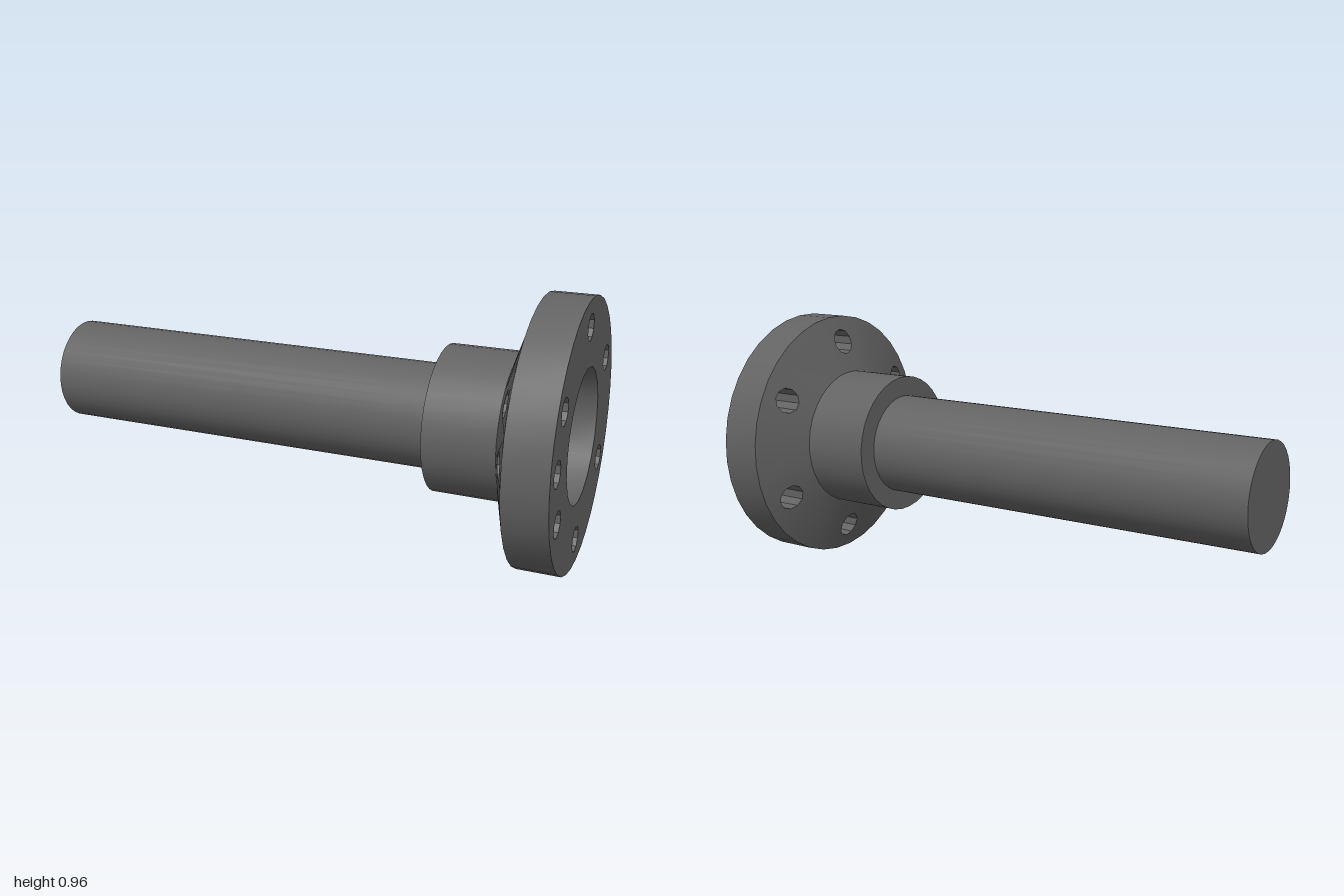
import * as THREE from 'three';
import { toCreasedNormals } from 'three/addons/utils/BufferGeometryUtils.js';

// Built along local z (shaft end at -1, flange face at +1), then turned onto x.
const SHAFT_R = 0.19, COLLAR_R = 0.265, FLANGE_R = 0.481, RECESS_R = 0.24;
const COLLAR_Z = 0.51, CONE_Z = 0.77, RIM_Z = 0.845, FACE_Z = 1, RECESS_Z = 0.9;
const HOLE_R = 0.048, BOLT_R = 0.382, SIDES = 36, HALF_SIDE = Math.PI / SIDES;
const HOLE_SLOTS = [1, 3, 5, 6, 7, 9, 11]; // multiples of 30 degrees
const STEP = Math.PI / 6;

const material = new THREE.MeshStandardMaterial({ color: 0x636363, side: THREE.DoubleSide });

// Depth of the sloping flange back at a given distance from the axis
const coneZ = (x, y) =>
  CONE_Z + (Math.hypot(x, y) - COLLAR_R) / (FLANGE_R - COLLAR_R) * (RIM_Z - CONE_Z);

const arc = (r, from, to, n, cx = 0, cy = 0) => Array.from({ length: n + 1 }, (_, i) => {
  const a = from + (to - from) * i / n;
  return new THREE.Vector2(cx + r * Math.cos(a), cy + r * Math.sin(a));
});

// Closed polygon whose first corner is turned from the top by the given angle
const ring = (r, n, turn = 0, cx = 0, cy = 0) =>
  arc(r, Math.PI / 2 + turn, Math.PI * 2.5 + turn, n, cx, cy).slice(0, -1);

const boltCentre = slot => [BOLT_R * Math.cos(slot * STEP), BOLT_R * Math.sin(slot * STEP)];
const boltPath = slot => new THREE.Path(ring(HOLE_R, 10, 0, ...boltCentre(slot)));

// Turned surface from [radius, z] pairs, with sharp corners
function turned(profile, sides = SIDES, turn = HALF_SIDE) {
  const lathe = new THREE.LatheGeometry(profile.map(p => new THREE.Vector2(...p)), sides, turn);
  return toCreasedNormals(lathe.rotateX(Math.PI / 2), 0.5);
}

// One 30 degree sector of the sloping back, pierced where a bolt passes
function coneSector(slot) {
  const a = (slot - 0.5) * STEP, b = (slot + 0.5) * STEP, n = SIDES / 12;
  const shape = new THREE.Shape([...arc(FLANGE_R, a, b, n), ...arc(COLLAR_R, b, a, n)]);
  if (HOLE_SLOTS.includes(slot)) shape.holes.push(boltPath(slot));
  const geometry = new THREE.ShapeGeometry(shape);
  const { position, normal } = geometry.attributes;
  const rise = FLANGE_R - COLLAR_R, run = RIM_Z - CONE_Z, len = Math.hypot(rise, run);
  for (let i = 0; i < position.count; i++) {
    const x = position.getX(i), y = position.getY(i), r = Math.hypot(x, y);
    position.setZ(i, coneZ(x, y));
    normal.setXYZ(i, x / r * run / len, y / r * run / len, -rise / len);
  }
  // Turn the faces to the back
  const index = geometry.index;
  for (let i = 0; i < index.count; i += 3) {
    const first = index.getX(i);
    index.setX(i, index.getX(i + 2));
    index.setX(i + 2, first);
  }
  return geometry;
}

// Faceted bolt hole wall, running from the sloping back to the flat face
function boltWall(slot) {
  const [cx, cy] = boltCentre(slot);
  const geometry = new THREE.CylinderGeometry(HOLE_R, HOLE_R, 1, 10, 1, true)
    .rotateX(Math.PI / 2).translate(cx, cy, 0);
  const p = geometry.attributes.position;
  for (let i = 0; i < p.count; i++) {
    p.setZ(i, p.getZ(i) > 0 ? FACE_Z : coneZ(p.getX(i), p.getY(i)));
  }
  return toCreasedNormals(geometry, 0.5);
}

export function createModel() {
  const model = new THREE.Group();
  model.name = 'flangedShaft';
  const turnedOntoX = new THREE.Group();
  turnedOntoX.name = 'axis';
  turnedOntoX.rotation.y = Math.PI / 2;
  turnedOntoX.position.y = FLANGE_R;
  model.add(turnedOntoX);

  const add = (name, geometry, parent = turnedOntoX) => {
    const mesh = new THREE.Mesh(geometry, material);
    mesh.name = name;
    parent.add(mesh);
  };

  // Shaft and the stepped collar
  add('shaft', turned([[0, -1], [SHAFT_R, -1], [SHAFT_R, COLLAR_Z]]));
  add('collar', turned([[SHAFT_R, COLLAR_Z], [COLLAR_R, COLLAR_Z], [COLLAR_R, CONE_Z]]));

  // Flange: rim, flat face, sloping back, bolt holes and centre recess
  const flange = new THREE.Group();
  flange.name = 'flange';
  turnedOntoX.add(flange);
  add('flangeRim', turned([[FLANGE_R, RIM_Z], [FLANGE_R, FACE_Z]]), flange);

  const face = new THREE.Shape(ring(FLANGE_R, SIDES, HALF_SIDE));
  face.holes.push(new THREE.Path(ring(RECESS_R, 20)), ...HOLE_SLOTS.map(boltPath));
  add('flangeFace', new THREE.ShapeGeometry(face).translate(0, 0, FACE_Z), flange);

  add('centreRecess', turned([[RECESS_R, FACE_Z], [RECESS_R, RECESS_Z], [0, RECESS_Z]], 20, 0), flange);

  for (let slot = 0; slot < 12; slot++) add('flangeBack', coneSector(slot), flange);
  for (const slot of HOLE_SLOTS) add('boltHole', boltWall(slot), flange);

  return model;
}
